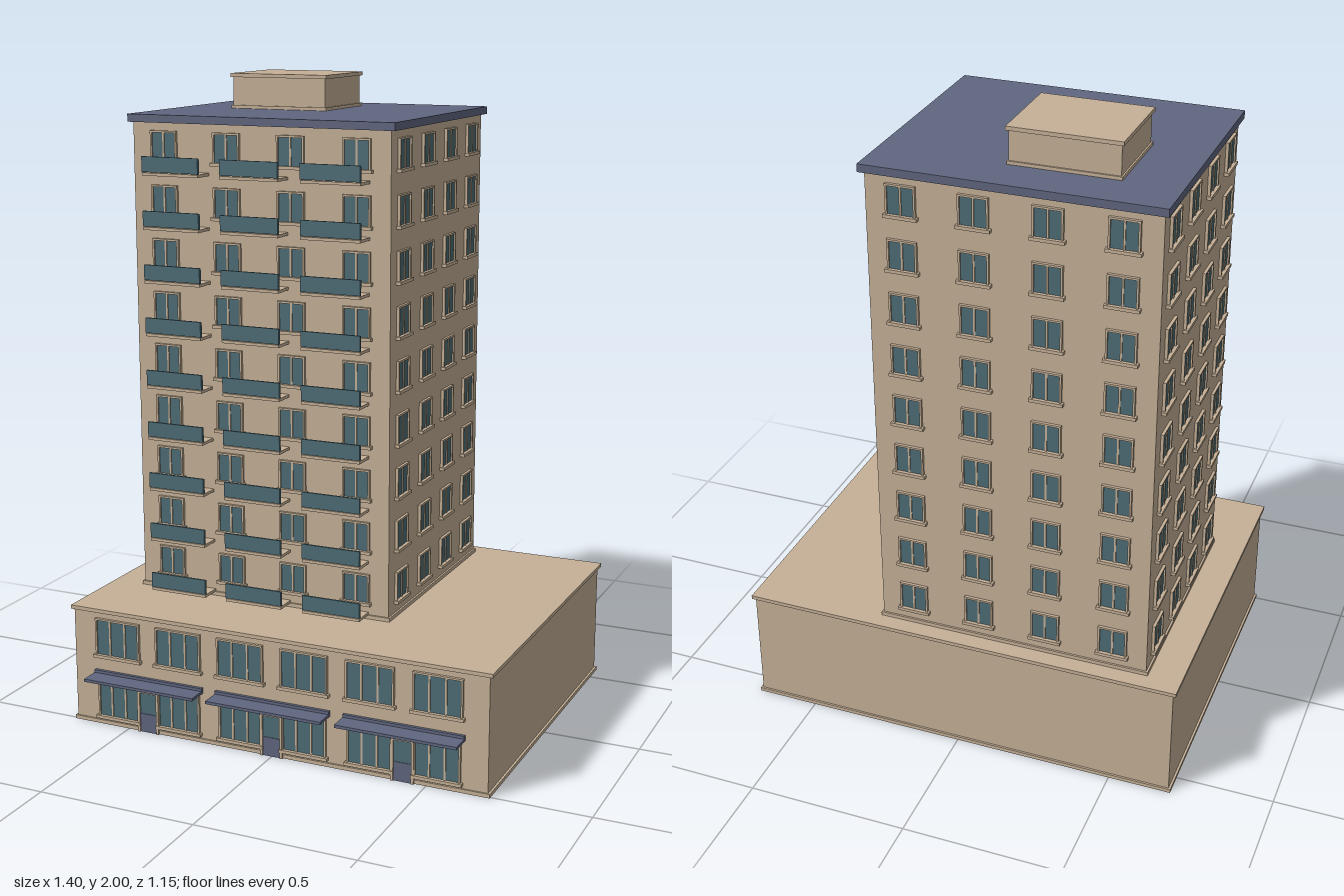
import * as THREE from 'three';
import { mergeGeometries } from 'three/addons/utils/BufferGeometryUtils.js';

const material = (name, color) => {
  const m = new THREE.MeshStandardMaterial({ color });
  m.name = name;
  return m;
};

// Box geometry from its min and max corners
function boxGeo(x0, x1, y0, y1, z0, z1) {
  const g = new THREE.BoxGeometry(x1 - x0, y1 - y0, z1 - z0);
  return g.translate((x0 + x1) / 2, (y0 + y1) / 2, (z0 + z1) / 2);
}

// Window centred on x = 0, standing on y = 0, with the wall at z = 0
function windowParts(w, h, mullions) {
  const b = 0.006, d = 0.009, hw = w / 2;
  const bars = [
    boxGeo(-hw, -hw + b, 0, h, 0, d),
    boxGeo(hw - b, hw, 0, h, 0, d),
    boxGeo(-hw + b, hw - b, h - b, h, 0, d),
    boxGeo(-hw - 0.006, hw + 0.006, -0.008, 0.002, 0, 0.015), // sill
  ];
  for (let i = 1; i <= mullions; i++) {
    const x = -hw + (w * i) / (mullions + 1);
    bars.push(boxGeo(x - 0.003, x + 0.003, 0, h - b, 0, 0.007));
  }
  return { frame: mergeGeometries(bars), glass: boxGeo(-hw + b, hw - b, 0, h - b, 0, 0.004) };
}

export function createModel() {
  const wall = material('sand wall', 0xc6b197);
  const roof = material('slate blue', 0x60667f);
  const teal = material('teal glass', 0x4e6d76);

  const model = new THREE.Group();
  model.name = 'apartmentTower';

  const add = (parent, name, geo, mat) => {
    const mesh = new THREE.Mesh(geo, mat);
    mesh.name = name;
    parent.add(mesh);
    return mesh;
  };
  const box = (parent, name, mat, ...c) => add(parent, name, boxGeo(...c), mat);
  const addWindow = (parent, parts, x, y, z) => {
    const g = new THREE.Group();
    g.name = 'window';
    add(g, 'windowFrame', parts.frame, wall);
    add(g, 'windowGlass', parts.glass, teal);
    g.position.set(x, y, z);
    parent.add(g);
  };

  // Podium with plinth and cornice
  const podium = new THREE.Group();
  podium.name = 'podium';
  model.add(podium);
  const front = 0.502;
  box(podium, 'podiumWalls', wall, -0.69, 0.69, 0.012, 0.368, -0.567, front);
  box(podium, 'podiumPlinth', wall, -0.697, 0.697, 0, 0.012, -0.573, 0.507);
  box(podium, 'podiumCornice', wall, -0.7, 0.7, 0.368, 0.38, -0.575, 0.508);

  // Upper windows and shop windows
  const upper = windowParts(0.156, 0.12, 2);
  const shop = windowParts(0.146, 0.133, 2);
  for (let i = 0; i < 6; i++) {
    const x = (i - 2.5) * 0.2135;
    addWindow(podium, upper, x, 0.23, front);
    addWindow(podium, shop, x, 0.028, front);
  }

  // Three entrances, each with a door and a canopy
  for (const x of [-0.427, 0, 0.427]) {
    const entrance = new THREE.Group();
    entrance.name = 'entrance';
    entrance.position.x = x;
    podium.add(entrance);
    for (const s of [-1, 1]) {
      box(entrance, 'doorJamb', wall, s * 0.0325 - 0.004, s * 0.0325 + 0.004, 0, 0.138, front, 0.514);
    }
    box(entrance, 'doorHead', wall, -0.0365, 0.0365, 0.13, 0.138, front, 0.515);
    box(entrance, 'doorPanel', roof, -0.0285, 0.0285, 0, 0.06, front, 0.51);
    box(entrance, 'doorGlass', teal, -0.0285, 0.0285, 0.06, 0.13, front, 0.508);
    box(entrance, 'canopy', roof, -0.191, 0.191, 0.161, 0.17, front, 0.573);
    box(entrance, 'canopyTop', roof, -0.191, 0.191, 0.17, 0.179, front, 0.512);
  }

  // Tower walls, base band and roof slab
  const tower = new THREE.Group();
  tower.name = 'tower';
  model.add(tower);
  const X0 = -0.59, X1 = 0.265, Z0 = -0.515, Z1 = 0.235;
  const cx = (X0 + X1) / 2, cz = (Z0 + Z1) / 2;
  box(tower, 'towerWalls', wall, X0, X1, 0.38, 1.866, Z0, Z1);
  box(tower, 'towerBase', wall, X0 - 0.006, X1 + 0.006, 0.38, 0.392, Z0 - 0.006, Z1 + 0.006);
  box(tower, 'roofSlab', roof, -0.604, 0.28, 1.866, 1.89, -0.529, 0.247);

  // Roof house
  box(tower, 'roofHouseWalls', wall, -0.428, -0.107, 1.9, 1.988, -0.384, -0.116);
  box(tower, 'roofHouseBase', wall, -0.433, -0.102, 1.89, 1.9, -0.389, -0.111);
  box(tower, 'roofHouseCap', wall, -0.435, -0.1, 1.988, 2, -0.391, -0.109);

  // Windows: four per floor on every side
  const small = windowParts(0.09, 0.092, 1);
  const FLOORS = 9, PITCH = 0.165;
  const hx = (X1 - X0) / 2, hz = (Z1 - Z0) / 2;
  for (let side = 0; side < 4; side++) {
    const facade = new THREE.Group();
    facade.name = ['frontWindows', 'leftWindows', 'backWindows', 'rightWindows'][side];
    facade.position.set(cx, 0, cz);
    facade.rotation.y = (side * Math.PI) / 2;
    const [half, depth] = side % 2 ? [hz, hx] : [hx, hz];
    for (let f = 0; f < FLOORS; f++) {
      for (let c = 0; c < 4; c++) {
        addWindow(facade, small, ((c - 1.5) * half) / 2, 0.43 + f * PITCH, depth);
      }
    }
    tower.add(facade);
  }

  // Balconies: three per floor on the front
  const slab = boxGeo(-0.096, 0.096, 0, 0.009, Z1, 0.305);
  const panel = boxGeo(-0.096, 0.096, 0.011, 0.058, 0.299, 0.306);
  const posts = mergeGeometries([-1, 1].map((s) =>
    boxGeo(s * 0.092 - 0.003, s * 0.092 + 0.003, 0.009, 0.056, 0.294, 0.299)));
  for (let f = 0; f < FLOORS; f++) {
    for (let i = -1; i <= 1; i++) {
      const balcony = new THREE.Group();
      balcony.name = 'balcony';
      balcony.position.set(cx + i * 0.265, 0.391 + f * PITCH, 0);
      add(balcony, 'balconySlab', slab, wall);
      add(balcony, 'balconyPanel', panel, teal);
      add(balcony, 'balconyPosts', posts, teal);
      tower.add(balcony);
    }
  }
  return model;
}
